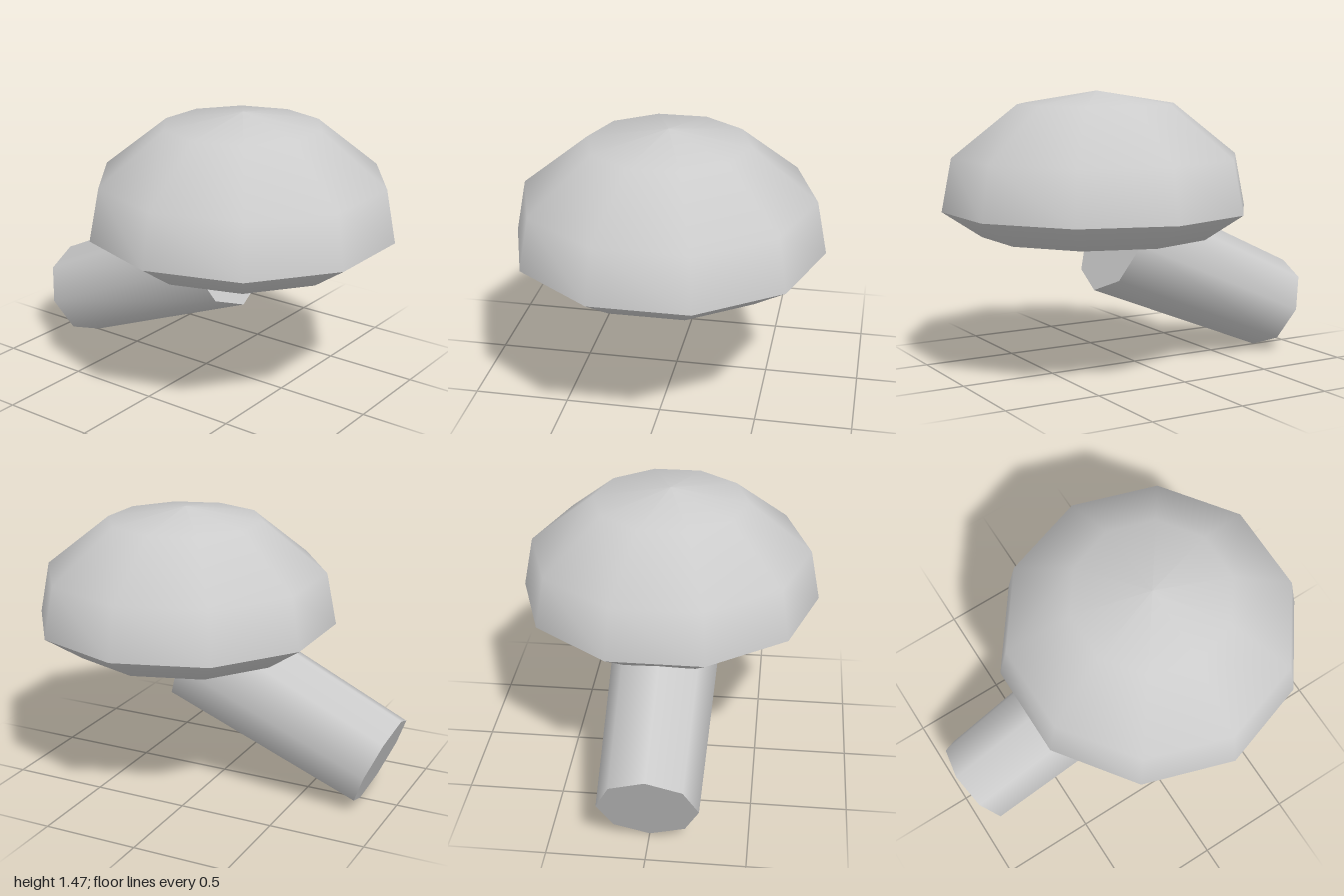
import * as THREE from 'three';

export function createModel() {
  const group = new THREE.Group();
  const grey = new THREE.MeshStandardMaterial({ color: 0xcccccc });
  grey.name = 'light grey';

  // Ten-sided turned part, with corners on the x axis
  const turned = (name, profile) => {
    const points = profile.map(([r, y]) => new THREE.Vector2(r, y));
    const mesh = new THREE.Mesh(new THREE.LatheGeometry(points, 10, Math.PI / 2), grey);
    mesh.name = name;
    mesh.position.z = 0.23;
    group.add(mesh);
  };

  // Cap: smooth dome and bevelled underside meeting at a sharp rim
  turned('capDome', [[0.806, 0.855], [0.753, 1.13], [0.413, 1.4], [0, 1.467]]);
  turned('capUnderside', [[0, 0.72], [0.603, 0.72], [0.806, 0.855]]);

  // Stem: tapered octagonal cylinder leaning down towards the back
  const stem = new THREE.Mesh(new THREE.CylinderGeometry(0.29, 0.257, 1.125, 8), grey);
  stem.name = 'stem';
  stem.position.set(0, 0.461, -0.383);
  stem.rotation.x = 1.162;
  group.add(stem);

  return group;
}
